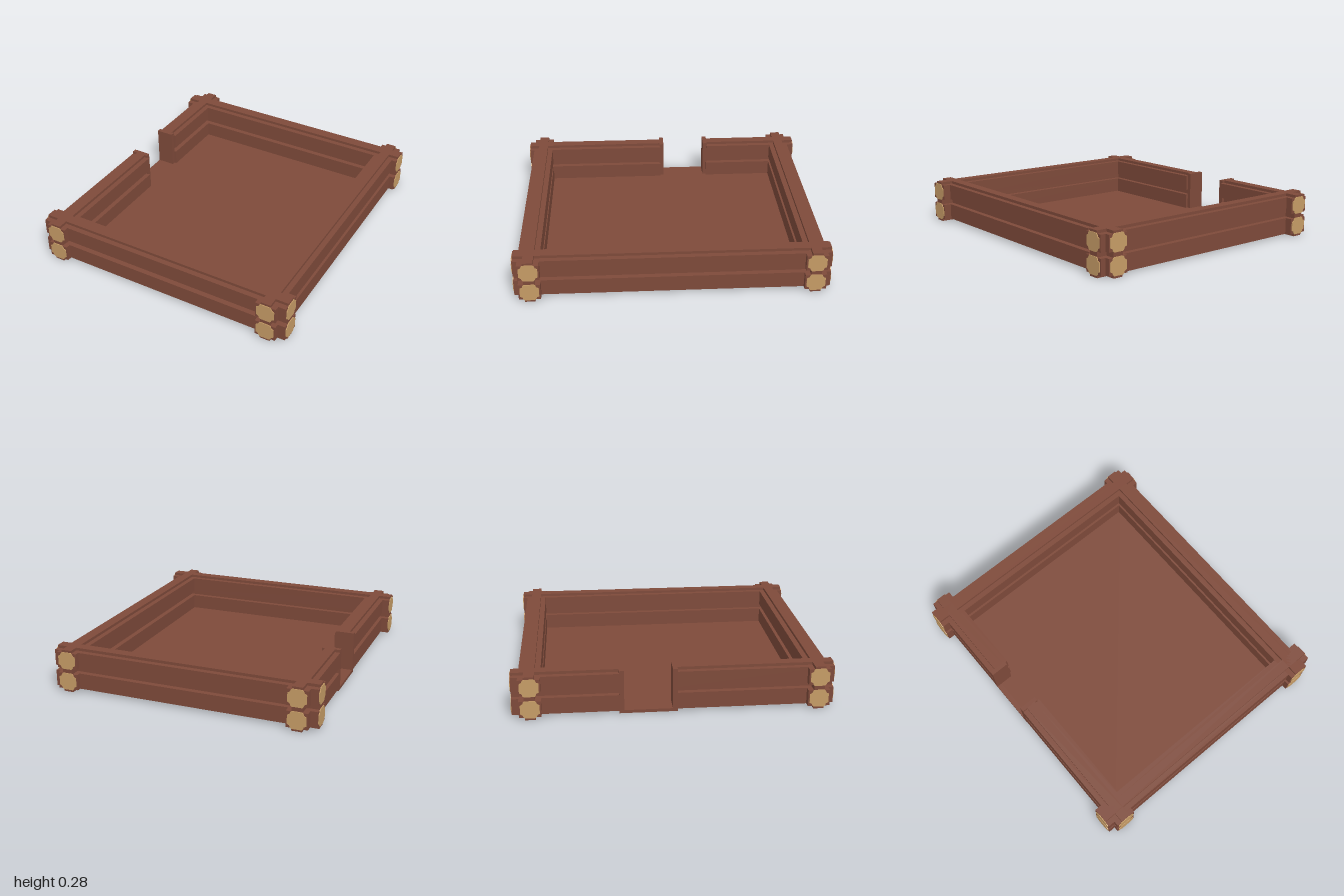
import * as THREE from 'three';

const wood = new THREE.MeshStandardMaterial({ color: 0x7e4a3a });
wood.name = 'brownWood';
const cutWood = new THREE.MeshStandardMaterial({ color: 0xc69c66 });
cutWood.name = 'tanCutWood';

const CAP = 0.005;

// Mirrors one quarter of an outline into a full closed shape.
function quarterShape(q) {
  const r = [...q].reverse();
  const pts = [
    ...q,
    ...r.map(([x, y]) => [-x, y]),
    ...q.map(([x, y]) => [-x, -y]),
    ...r.map(([x, y]) => [x, -y]),
  ];
  return new THREE.Shape(pts.map(([x, y]) => new THREE.Vector2(x, y)));
}

// Stepped log section and the rounded cut face on its end
const logShape = quarterShape([[0.068, 0.052], [0.033, 0.052], [0.033, 0.07]]);
const capShape = quarterShape([[0.059, 0.028], [0.044, 0.036], [0.04, 0.048], [0.032, 0.056]]);

function extrude(shape, from, to, axis) {
  const g = new THREE.ExtrudeGeometry(shape, { depth: to - from, bevelEnabled: false });
  g.translate(0, 0, from);
  if (axis === 'x') g.rotateY(Math.PI / 2);
  return g;
}

export function createModel() {
  const model = new THREE.Group();

  function add(parent, name, geometry, material) {
    const m = new THREE.Mesh(geometry, material);
    m.name = name;
    parent.add(m);
    return m;
  }

  function box(name, x0, x1, y0, y1, z0, z1) {
    const m = add(model, name, new THREE.BoxGeometry(x1 - x0, y1 - y0, z1 - z0), wood);
    m.position.set((x0 + x1) / 2, (y0 + y1) / 2, (z0 + z1) / 2);
  }

  // Two stacked logs along an axis, with cut faces on the chosen ends
  function wall(name, axis, offset, from, to, capStart = true, capEnd = true) {
    for (const y of [0.07, 0.21]) {
      const log = new THREE.Group();
      log.name = name;
      const a = capStart ? from + CAP : from;
      const b = capEnd ? to - CAP : to;
      add(log, 'log', extrude(logShape, a, b, axis), wood);
      if (capStart) add(log, 'logEnd', extrude(capShape, from, a, axis), cutWood);
      if (capEnd) add(log, 'logEnd', extrude(capShape, b, to, axis), cutWood);
      log.position.set(axis === 'x' ? 0 : offset, y, axis === 'x' ? offset : 0);
      model.add(log);
    }
  }

  wall('frontWall', 'x', 0.895, -0.885, 0.885);
  wall('backWall', 'x', -0.882, -0.885, 0.87);
  wall('leftWall', 'z', 0.763, -0.985, 1);
  // Side wall with the doorway gap
  wall('rightWallBack', 'z', -0.767, -1, -0.335, true, false);
  wall('rightWallFront', 'z', -0.767, 0.015, 1, false, true);

  // Door posts, floor and threshold
  box('doorPostBack', -0.835, -0.715, 0, 0.28, -0.34, -0.31);
  box('doorPostFront', -0.835, -0.715, 0, 0.28, -0.01, 0.02);
  box('floor', -0.8, 0.796, 0, 0.02, -0.915, 0.928);
  box('threshold', -0.835, -0.8, 0, 0.02, -0.34, 0.02);

  return model;
}
